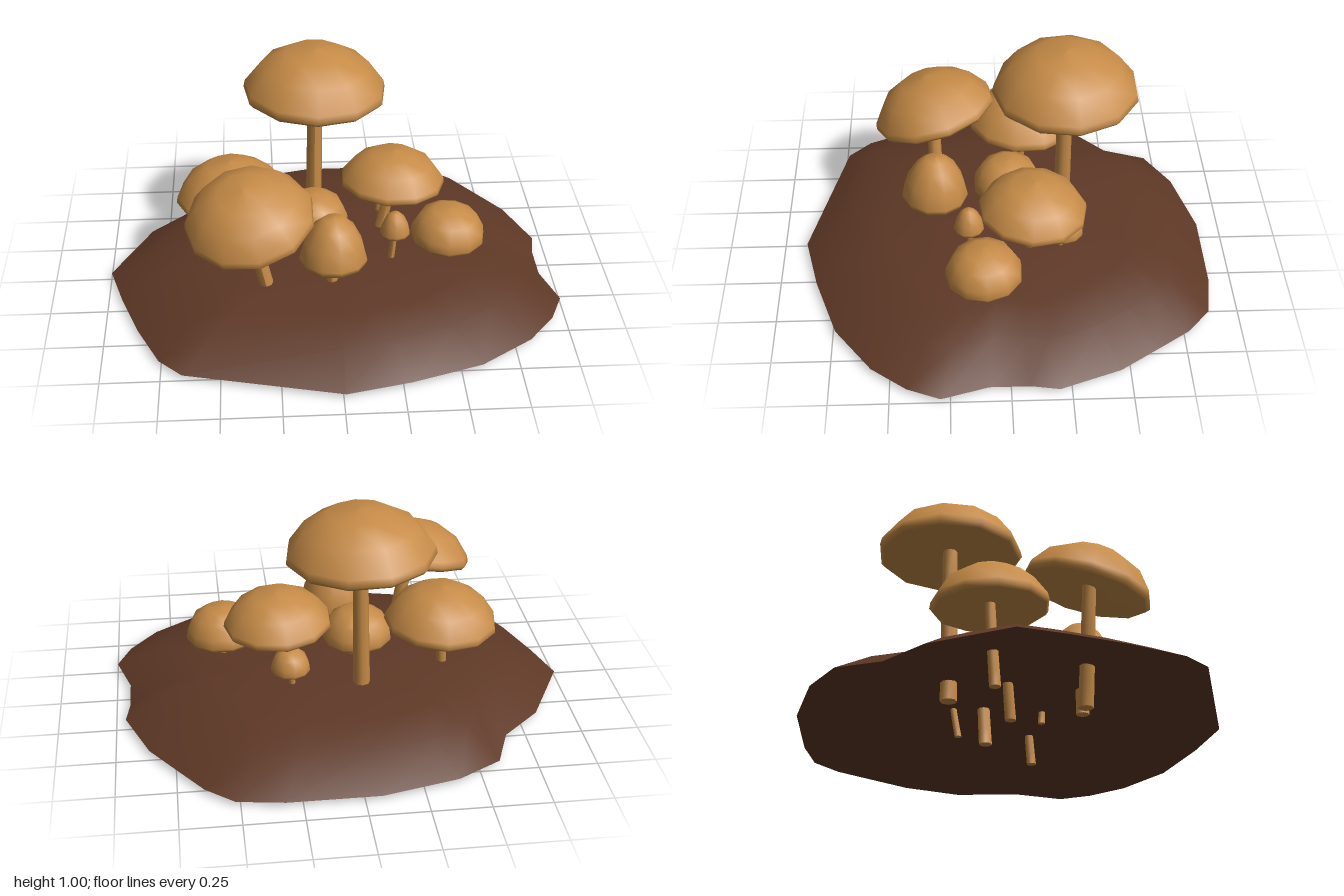
import * as THREE from 'three';

const capMat = new THREE.MeshStandardMaterial({ color: 0xc68b47 });
capMat.name = 'tan mushroom';
const soilMat = new THREE.MeshStandardMaterial({ color: 0x5e3826, side: THREE.DoubleSide });
soilMat.name = 'brown soil';

// cap profiles as [radius, height] fractions, from the underside centre to the crown
const UNDER = [[0, 0.16], [0.5, 0.13], [0.95, 0]];
const PROFILES = {
  wide: [...UNDER, [1, 0.08], [0.98, 0.22], [0.76, 0.64], [0.42, 0.92], [0, 1]],
  round: [...UNDER, [1, 0.1], [0.97, 0.35], [0.77, 0.74], [0.42, 0.96], [0, 1]],
  bell: [...UNDER, [1, 0.12], [0.87, 0.46], [0.6, 0.8], [0.3, 0.97], [0, 1]],
};

// rim = centre of the cap's lower edge, tilt = lean of its axis in x and z,
// foot = bottom of the stem
const MUSHROOMS = [
  { name: 'tallMushroom', type: 'wide', rim: [-0.06, 0.795, -0.27], r: 0.32, h: 0.225, tilt: [0.03, 0], foot: [-0.07, 0.11, -0.265], stem: 0.034 },
  { name: 'leaningMushroom', type: 'wide', rim: [-0.36, 0.49, 0.3], r: 0.28, h: 0.2, tilt: [-0.14, 0.27], foot: [-0.26, 0.015, 0.3], stem: 0.03 },
  { name: 'backLeftMushroom', type: 'wide', rim: [-0.44, 0.365, -0.1], r: 0.25, h: 0.19, tilt: [-0.04, -0.04], foot: [-0.46, 0.02, -0.08], stem: 0.022 },
  { name: 'backRightMushroom', type: 'wide', rim: [0.28, 0.415, -0.115], r: 0.235, h: 0.165, tilt: [0.04, -0.05], foot: [0.19, 0.015, -0.1], stem: 0.026 },
  { name: 'rightMushroom', type: 'round', rim: [0.51, 0.255, 0.1], r: 0.165, h: 0.155, tilt: [0.03, 0.03], foot: [0.51, 0.04, 0.12], stem: 0.019 },
  { name: 'tinyFrontMushroom', type: 'bell', rim: [0.27, 0.32, 0.16], r: 0.066, h: 0.11, tilt: [0, 0], foot: [0.25, 0.14, 0.15], stem: 0.014 },
  { name: 'bellMushroom', type: 'bell', rim: [-0.01, 0.285, 0.31], r: 0.148, h: 0.22, tilt: [0.02, -0.05], foot: [-0.02, 0.08, 0.31], stem: 0.026 },
  { name: 'middleMushroom', type: 'round', rim: [-0.08, 0.275, -0.02], r: 0.155, h: 0.155, tilt: [0.02, 0], foot: [-0.04, 0.04, 0], stem: 0.022 },
  { name: 'tinyBackMushroom', type: 'round', rim: [0.24, 0.265, -0.255], r: 0.085, h: 0.105, tilt: [0, 0], foot: [0.22, 0.06, -0.22], stem: 0.014 },
];

// gently bowed stem: a cylinder whose rings follow a curve
function makeStem(foot, top, r) {
  const mid = foot.clone().lerp(top, 0.5);
  mid.x += (top.x - foot.x) * 0.12;
  mid.z += (top.z - foot.z) * 0.12;
  const curve = new THREE.QuadraticBezierCurve3(foot, mid, top);
  const geo = new THREE.CylinderGeometry(r * 0.95, r * 1.1, 1, 8, 6);
  const pos = geo.attributes.position;
  for (let i = 0; i < pos.count; i++) {
    const p = curve.getPoint(THREE.MathUtils.clamp(pos.getY(i) + 0.5, 0, 1));
    pos.setXYZ(i, p.x + pos.getX(i), p.y, p.z + pos.getZ(i));
  }
  geo.computeVertexNormals();
  return new THREE.Mesh(geo, capMat);
}

function makeMushroom(m, index) {
  const g = new THREE.Group();
  g.name = m.name;
  const pts = PROFILES[m.type].map(([a, b]) => new THREE.Vector2(a * m.r, b * m.h));
  const cap = new THREE.Mesh(new THREE.LatheGeometry(pts, 11, index * 0.7), capMat);
  cap.name = 'cap';
  cap.position.set(...m.rim);
  const up = new THREE.Vector3(m.tilt[0], 1, m.tilt[1]).normalize();
  cap.quaternion.setFromUnitVectors(new THREE.Vector3(0, 1, 0), up);
  const top = new THREE.Vector3(...m.rim).addScaledVector(up, m.h * 0.3);
  const stem = makeStem(new THREE.Vector3(...m.foot), top, m.stem);
  stem.name = 'stem';
  g.add(stem, cap);
  return g;
}

// open soil mound: scaled copies of an irregular outline, rising to the middle
function makeMound() {
  const outline = [
    [-0.07, -0.9], [0.32, -0.9], [0.52, -0.87], [0.64, -0.77], [0.74, -0.63], [0.86, -0.46],
    [0.96, -0.2], [0.94, -0.08], [0.94, 0.09], [1, 0.29], [0.94, 0.43], [0.82, 0.58],
    [0.59, 0.74], [0.28, 0.84], [0.01, 0.9], [-0.66, 0.74], [-0.76, 0.64], [-0.86, 0.42],
    [-0.94, 0.19], [-1, -0.02], [-0.83, -0.36], [-0.66, -0.52], [-0.59, -0.71], [-0.4, -0.82],
  ];
  const rings = [[1, 0.035], [0.81, 0.135], [0.6, 0.165], [0.36, 0.195]];
  const n = outline.length, verts = [], idx = [];
  for (const [s, y] of rings) for (const [x, z] of outline) verts.push(x * s, y, z * s);
  verts.push(0, 0.2, 0);
  for (let k = 0; k < rings.length; k++) {
    for (let i = 0; i < n; i++) {
      const a = k * n + i, b = k * n + (i + 1) % n;
      if (k === rings.length - 1) idx.push(a, rings.length * n, b);
      else idx.push(a, a + n, b, b, a + n, b + n);
    }
  }
  const geo = new THREE.BufferGeometry();
  geo.setAttribute('position', new THREE.Float32BufferAttribute(verts, 3));
  // wind the faces so the top side is the front
  for (let i = 0; i < idx.length; i += 3) [idx[i + 1], idx[i + 2]] = [idx[i + 2], idx[i + 1]];
  geo.setIndex(idx);
  geo.computeVertexNormals();
  if (geo.attributes.normal.getY(rings.length * n) < 0) {
    idx.reverse();
    geo.setIndex(idx);
    geo.computeVertexNormals();
  }
  const mound = new THREE.Mesh(geo, soilMat);
  mound.name = 'soilMound';
  return mound;
}

export function createModel() {
  const model = new THREE.Group();
  model.name = 'mushroomPatch';
  model.add(makeMound());
  MUSHROOMS.forEach((m, i) => model.add(makeMushroom(m, i)));
  return model;
}
